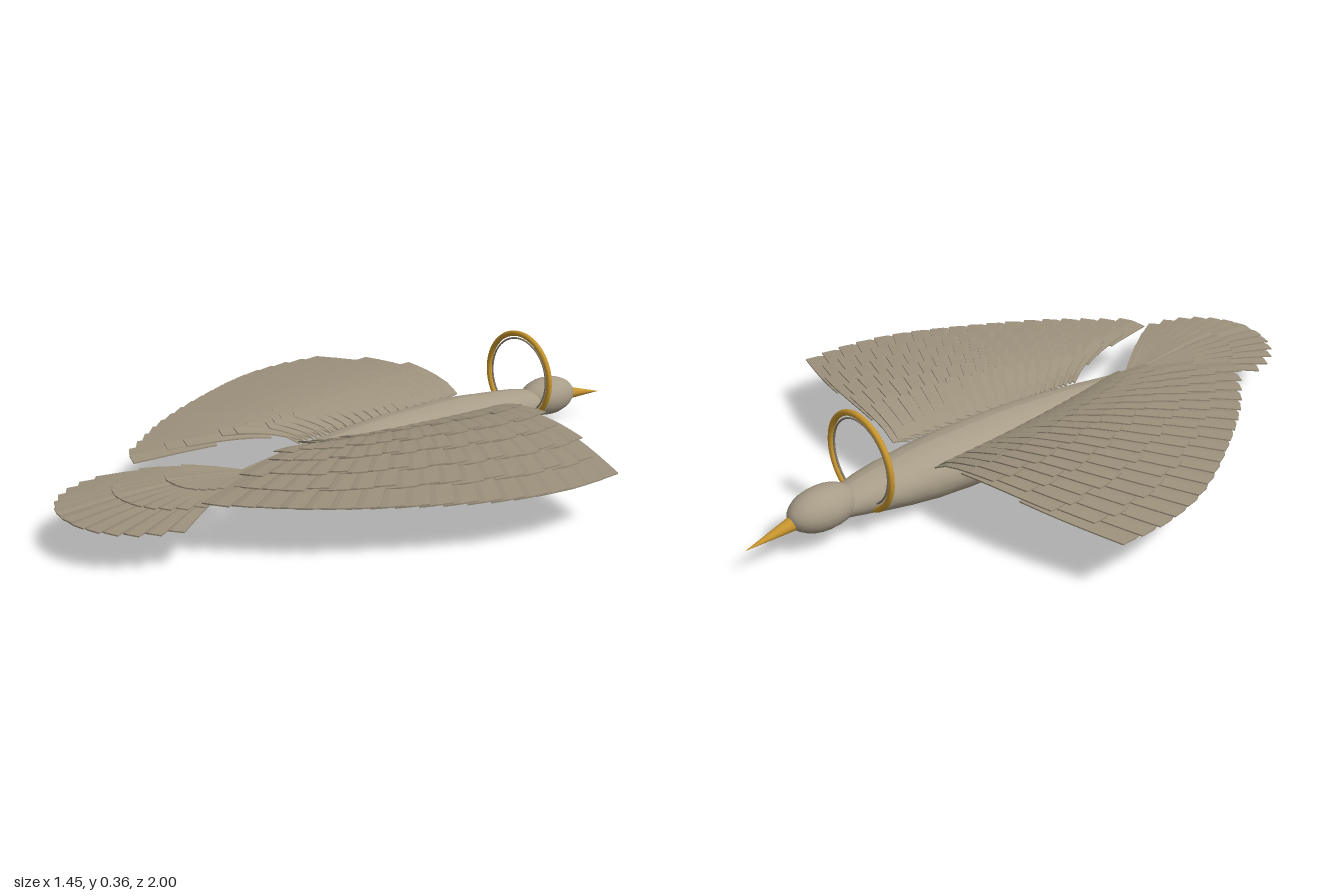
import * as THREE from 'three';
import { mergeGeometries } from 'three/addons/utils/BufferGeometryUtils.js';

const material = (name, color, side = THREE.FrontSide) => {
  const m = new THREE.MeshStandardMaterial({ color, side });
  m.name = name;
  return m;
};

const mesh = (name, geometry, mat) => {
  const m = new THREE.Mesh(geometry, mat);
  m.name = name;
  return m;
};

// One thin feather from fraction a to b of the line root -> tip (points hold x, z).
// lead is the sign of the leading edge; bow bends the feather towards it.
function feather({ root, tip, a, b, height, halfWidth, lead = 0, bow = 0, roll = 0, lift = 0 }) {
  const g = new THREE.BoxGeometry(2, 0.004, 1, 2, 1, 5);
  const dx = tip.x - root.x, dz = tip.y - root.y, len = Math.hypot(dx, dz);
  const sx = dz / len, sz = -dx / len;
  const p = g.attributes.position;
  for (let i = 0; i < p.count; i++) {
    const u = p.getX(i), s = p.getZ(i) + 0.5;
    const d = a + (b - a) * s - (s > 0.99 ? 0.012 * Math.abs(u) : 0);
    const side = u * halfWidth(d) + lead * bow * Math.sin(Math.PI * d);
    const ridge = 0.003 * (1 - Math.abs(u));
    const y = height(d) + p.getY(i) + ridge + lift * (0.4 + 0.6 * s) + lead * u * roll;
    p.setXYZ(i, root.x + dx * d + sx * side, y, root.y + dz * d + sz * side);
  }
  const flat = g.toNonIndexed();
  flat.computeVertexNormals();
  return flat;
}

// Wing of overlapping feather rows, each shorter and higher than the last
function makeWing(sign, mat) {
  const wing = new THREE.Group();
  wing.name = sign > 0 ? 'leftWing' : 'rightWing';
  const edge = new THREE.SplineCurve([
    [0.715, -0.275], [0.715, -0.13], [0.67, 0.05], [0.55, 0.28], [0.41, 0.49], [0.23, 0.68],
  ].map(([x, z]) => new THREE.Vector2(x, z)));
  const rows = [
    ['primaryFeathers', 1, 0], ['greaterCoverts', 0.83, 0.008], ['middleCoverts', 0.67, 0.014],
    ['lesserCoverts', 0.51, 0.02], ['innerCoverts', 0.37, 0.025], ['shoulderCoverts', 0.23, 0.03],
  ];
  const height = (d) => 0.15 + 0.035 * Math.sin(Math.PI * Math.min(1, Math.pow(Math.max(d, 0), 0.6))) + 0.01 * d;
  const halfWidth = (d) => 0.026 + 0.02 * d;
  const count = 18;
  rows.forEach(([name, reach, lift], row) => {
    const parts = [];
    const shift = row % 2 ? 0.5 : 0;
    for (let i = 0; i < count - (row % 2); i++) {
      const t = (i + shift) / (count - 1);
      const end = edge.getPointAt(t);
      const root = new THREE.Vector2(sign * (0.09 - 0.03 * t), -0.415 + 0.63 * t);
      parts.push(feather({
        root, tip: new THREE.Vector2(sign * end.x, end.y),
        a: Math.max(0, reach - 0.5), b: reach + (row ? 0.015 * Math.sin(i * 2.3) : 0),
        height, halfWidth, lead: sign, bow: 0.03 * (1 - t), roll: 0.005, lift,
      }));
    }
    wing.add(mesh(name, mergeGeometries(parts), mat));
  });
  return wing;
}

// Fanned tail, three rows
function makeTail(mat) {
  const tail = new THREE.Group();
  tail.name = 'tail';
  const count = 13;
  [['tailFeathers', 1, 0], ['longTailCoverts', 0.72, 0.005], ['shortTailCoverts', 0.45, 0.009]].forEach(([name, reach, lift], row) => {
    const parts = [];
    const n = count - (row % 2);
    for (let i = 0; i < n; i++) {
      const k = (2 * i) / (n - 1) - 1, angle = k * 0.52, len = 0.58 - 0.14 * k * k;
      parts.push(feather({
        root: new THREE.Vector2(0, 0.42),
        tip: new THREE.Vector2(Math.sin(angle) * len, 0.42 + Math.cos(angle) * len),
        a: 0, b: reach,
        height: (d) => 0.117 + 0.02 * Math.sin(Math.PI * d) + 0.003 * d - 0.006 * Math.abs(k) * d,
        halfWidth: (d) => 0.012 + 0.024 * d,
        lead: k < 0 ? -1 : 1, roll: 0.002, lift: lift + 0.004 * (1 - Math.abs(k)),
      }));
    }
    tail.add(mesh(name, mergeGeometries(parts), mat));
  });
  return tail;
}

// Spindle body lofted through oval sections
function bodyGeometry() {
  // z, top, bottom, half width
  const sections = [
    [-0.7, 0.15, 0.07, 0.05], [-0.62, 0.168, 0.055, 0.07], [-0.5, 0.18, 0.032, 0.09],
    [-0.35, 0.19, 0.012, 0.104], [-0.1, 0.187, 0.005, 0.107], [0.1, 0.172, 0.018, 0.096],
    [0.3, 0.15, 0.048, 0.068], [0.42, 0.136, 0.077, 0.038], [0.45, 0.122, 0.098, 0.012],
  ];
  const outline = new THREE.CatmullRomCurve3(sections.map(([z, t, b]) => new THREE.Vector3(z, t, b)), false, 'catmullrom');
  const widths = new THREE.SplineCurve(sections.map(([z, , , w]) => new THREE.Vector2(z, w)));
  const g = new THREE.CylinderGeometry(1, 1, 1, 24, 32).rotateX(-Math.PI / 2);
  const p = g.attributes.position;
  for (let i = 0; i < p.count; i++) {
    const t = THREE.MathUtils.clamp(p.getZ(i) + 0.5, 0, 1);
    const o = outline.getPoint(t), w = widths.getPoint(t).y;
    const x = p.getX(i), y = p.getY(i);
    const dent = 1 - 0.012 * (1 + Math.sin(t * 55 + x * 4) * Math.cos(y * 7 + t * 20));
    p.setXYZ(i, x * w * dent, (o.y + o.z) / 2 + (y * dent * (o.y - o.z)) / 2, o.x);
  }
  g.computeVertexNormals();
  return g;
}

export function createModel() {
  const skin = material('body taupe', 0xa89d88);
  const plumage = material('feather taupe', 0x9c917c, THREE.DoubleSide);
  const gold = material('gold', 0xc8962f);
  const lining = material('ring lining grey', 0x857d6e);

  const bird = new THREE.Group();
  bird.name = 'bird';
  bird.add(mesh('body', bodyGeometry(), skin));

  // Head, slightly egg shaped
  const head = mesh('head', new THREE.SphereGeometry(1, 18, 14).rotateX(Math.PI / 2), skin);
  head.scale.set(0.066, 0.063, 0.108);
  head.position.set(0, 0.122, -0.752);
  bird.add(head);

  // Beak, pointing slightly down
  const beak = mesh('beak', new THREE.ConeGeometry(0.023, 0.165, 12).rotateX(-Math.PI / 2), gold);
  beak.position.set(0, 0.102, -0.918);
  beak.rotation.x = -0.15;
  bird.add(beak);

  bird.add(makeWing(1, plumage), makeWing(-1, plumage), makeTail(plumage));

  // Upright ring around the neck with a thin inner lining
  const ring = new THREE.Group();
  ring.name = 'neckRing';
  ring.position.set(0, 0.215, -0.62);
  ring.add(mesh('ringBand', new THREE.TorusGeometry(0.141, 0.009, 10, 48), gold));
  ring.add(mesh('ringLining', new THREE.TorusGeometry(0.125, 0.003, 6, 48), lining));
  bird.add(ring);
  return bird;
}
